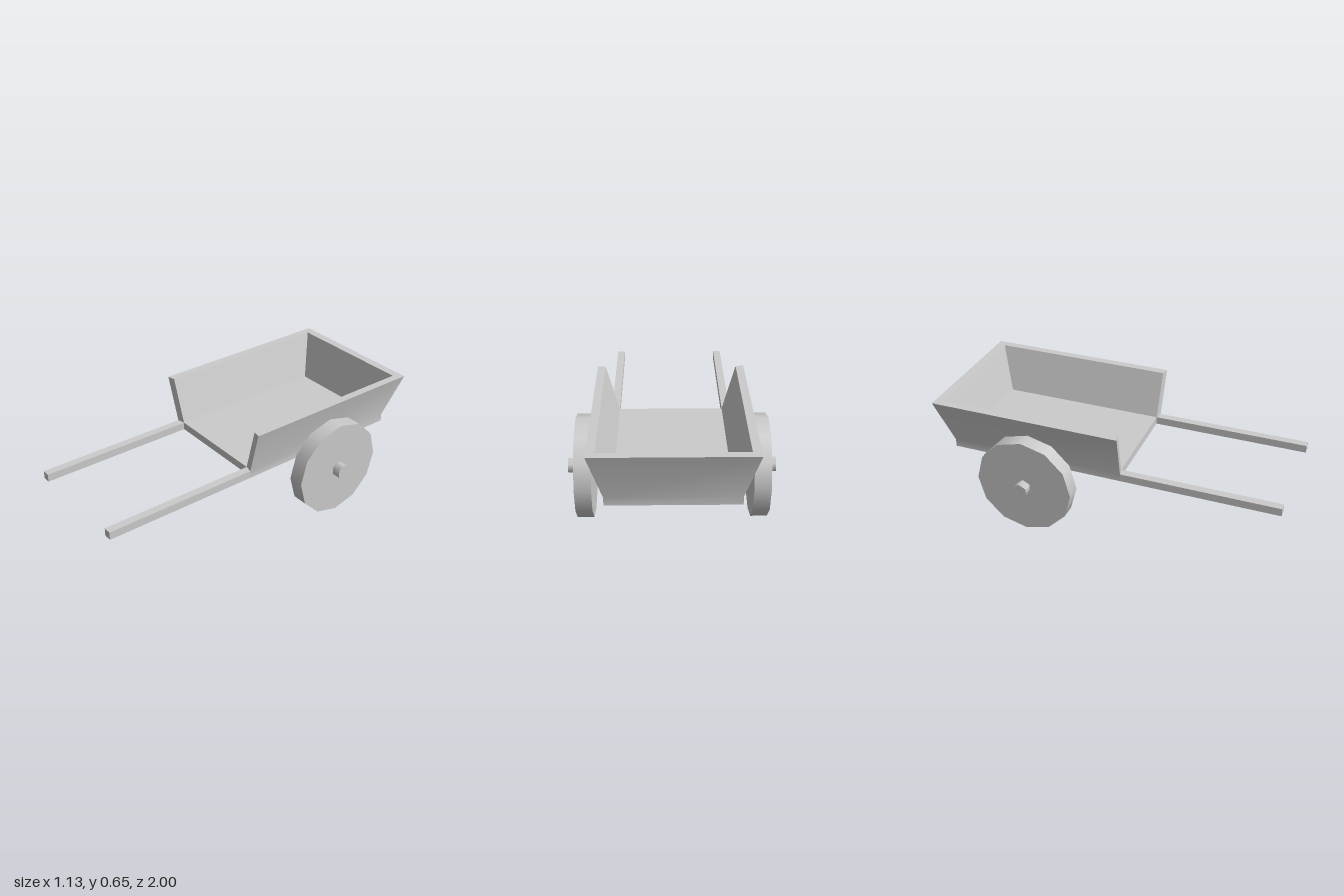
import * as THREE from 'three';
import { toCreasedNormals } from 'three/addons/utils/BufferGeometryUtils.js';

const material = new THREE.MeshStandardMaterial({ color: 0xcccccc, side: THREE.DoubleSide });

// Four-cornered faces, corners anticlockwise seen from outside
function quadMesh(name, quads) {
  const points = quads.flatMap(([a, b, c, d]) => [a, b, c, a, c, d]).flat();
  const geometry = new THREE.BufferGeometry();
  geometry.setAttribute('position', new THREE.Float32BufferAttribute(points, 3));
  const mesh = new THREE.Mesh(toCreasedNormals(geometry, Math.PI / 6), material);
  mesh.name = name;
  return mesh;
}

// Cylinder lying along x
function crossCylinder(name, radius, length, sides, start, x) {
  const geometry = new THREE.CylinderGeometry(radius, radius, length, sides, 1, false, start);
  geometry.rotateZ(Math.PI / 2);
  const mesh = new THREE.Mesh(geometry, material);
  mesh.name = name;
  mesh.position.set(x, 0.286, -0.41);
  return mesh;
}

const BASE = 0.34, FLOOR = 0.385, RIM = 0.65;

// Wall section from outer bottom over the rim to the floor: x, y, back z, front z
const section = [
  [0.345, BASE, -0.92, 0.1],
  [0.345, FLOOR, -0.92, 0.1],
  [0.42, RIM, -1, 0.11],
  [0.375, RIM, -0.95, 0.1],
  [0.3, FLOOR, -0.875, 0.09],
];

function createTub() {
  // Stations of the U: front left, back left, back right, front right
  const stations = [[1, 3], [1, 2], [-1, 2], [-1, 3]].map(([sign, end]) =>
    section.map((p) => [sign * p[0], p[1], p[end]]));
  const walls = [];
  for (let s = 0; s < 3; s++) {
    for (let i = 0; i < 4; i++) {
      walls.push([stations[s][i], stations[s + 1][i], stations[s + 1][i + 1], stations[s][i + 1]]);
    }
  }
  // Front ends of the side walls
  walls.push(stations[0].slice(1), stations[3].slice(1).reverse());

  const floor = [
    stations.map((p) => p[4]),
    [[-0.3, BASE, 0.09], [0.3, BASE, 0.09], [0.3, FLOOR, 0.09], [-0.3, FLOOR, 0.09]],
  ];
  const tub = new THREE.Group();
  tub.name = 'tub';
  tub.add(quadMesh('walls', walls), quadMesh('floor', floor));
  return tub;
}

// Handle: channel open underneath, continuing the edge of the tub
function createHandle(sign) {
  const o = 0.345, i = 0.3;
  const handle = quadMesh(sign > 0 ? 'leftHandle' : 'rightHandle', [
    [[o, BASE, 1], [o, BASE, 0.1], [o, FLOOR, 0.1], [o, FLOOR, 1]],
    [[i, BASE, 0.09], [i, BASE, 1], [i, FLOOR, 1], [i, FLOOR, 0.09]],
    [[i, FLOOR, 1], [o, FLOOR, 1], [o, FLOOR, 0.1], [i, FLOOR, 0.09]],
    [[i, BASE, 1], [o, BASE, 1], [o, FLOOR, 1], [i, FLOOR, 1]],
  ]);
  handle.scale.x = sign;
  return handle;
}

export function createModel() {
  const cart = new THREE.Group();
  cart.name = 'handcart';
  cart.add(createTub());
  cart.add(crossCylinder('axle', 0.045, 1.126, 6, Math.PI / 6, 0));
  for (const sign of [1, -1]) {
    cart.add(createHandle(sign));
    cart.add(crossCylinder(sign > 0 ? 'leftWheel' : 'rightWheel', 0.282, 0.09, 12, 0, sign * 0.468));
  }
  return cart;
}
